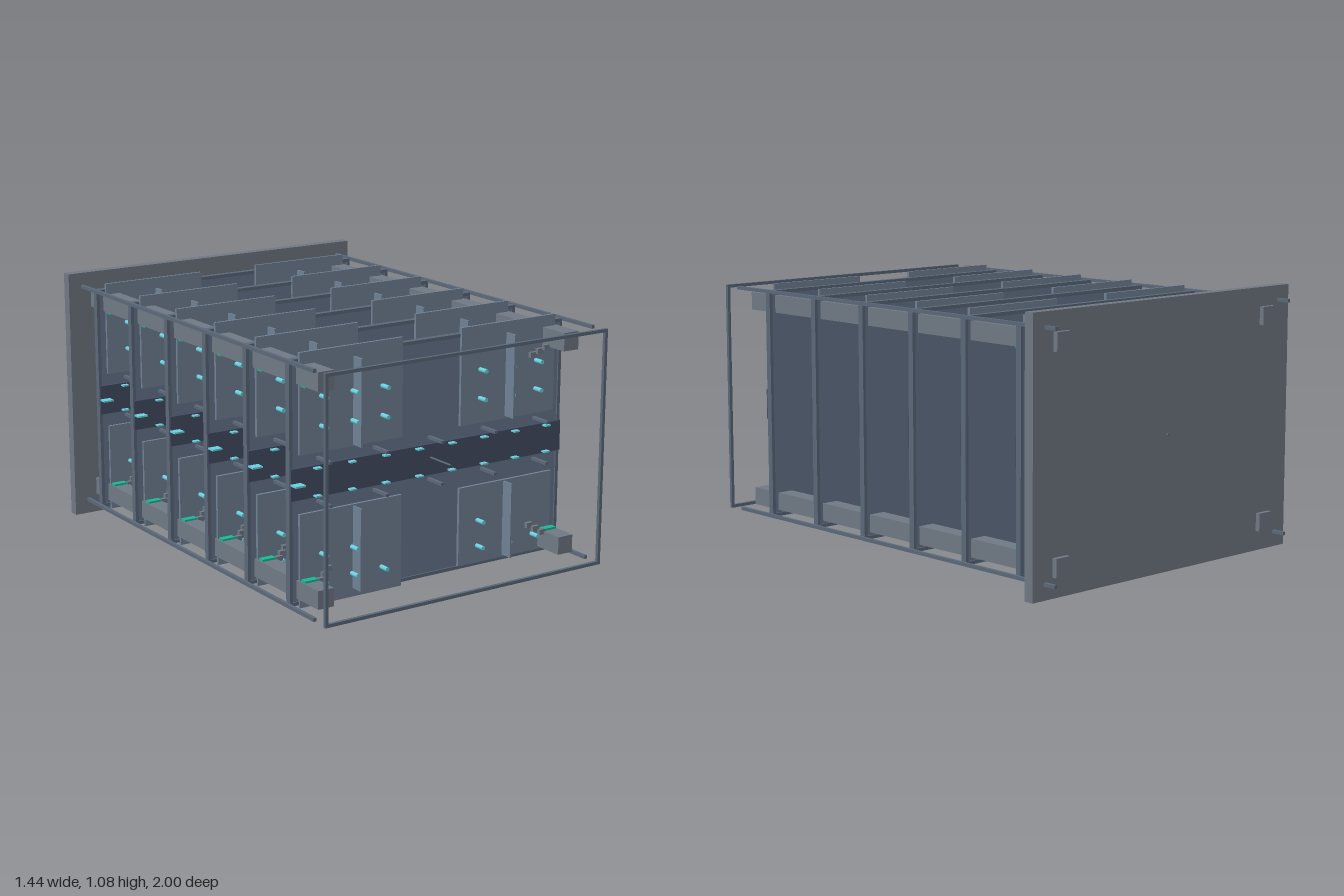
import * as THREE from 'three';

const mat = (color) => new THREE.MeshStandardMaterial({ color });
const M = {
  plate: mat(0x707783), beam: mat(0x6f7884), rail: mat(0x5a6878), board: mat(0x64748b),
  panel: mat(0x6f8194), strip: mat(0x434b63), peg: mat(0x67d0dc), clip: mat(0x14b892), tag: mat(0xd9603a),
};

// Box given by its min and max on each axis
function box(parent, name, m, x0, x1, y0, y1, z0, z1) {
  const mesh = new THREE.Mesh(new THREE.BoxGeometry(x1 - x0, y1 - y0, z1 - z0), m);
  mesh.position.set((x0 + x1) / 2, (y0 + y1) / 2, (z0 + z1) / 2);
  mesh.name = name;
  parent.add(mesh);
  return mesh;
}

// Round rod running along z
function rod(parent, name, m, x, y, z0, z1, r, sides = 12) {
  const geo = new THREE.CylinderGeometry(r, r, z1 - z0, sides).rotateX(Math.PI / 2);
  const mesh = new THREE.Mesh(geo, m);
  mesh.position.set(x, y, (z0 + z1) / 2);
  mesh.name = name;
  parent.add(mesh);
}

// Rectangular rim made of four bars
function rim(parent, name, m, x, y0, y1, t, z0, z1) {
  for (const s of [-1, 1]) {
    const c = s * (x - t / 2);
    box(parent, name + 'Side', m, c - t / 2, c + t / 2, y0, y1, z0, z1);
  }
  box(parent, name + 'Bottom', m, -x + t, x - t, y0, y0 + t, z0, z1);
  box(parent, name + 'Top', m, -x + t, x - t, y1 - t, y1, z0, z1);
}

// One board with its mounted parts, z = 0 at the board's centre
function createBoard() {
  const g = new THREE.Group();
  g.name = 'boardAssembly';
  box(g, 'board', M.board, -0.645, 0.645, 0.06, 1.015, -0.005, 0.008);
  rim(g, 'boardRim', M.rail, 0.65, 0.055, 1.02, 0.014, -0.012, 0.014);

  // Mounted panels, each with an upright fin
  const panels = [
    [-0.61, -0.14, 0.65, 1.045, -0.365, 0.655, 1.0],
    [0.14, 0.605, 0.65, 1.045, 0.363, 0.66, 1.0],
    [-0.61, -0.14, 0.045, 0.418, -0.365, 0.08, 0.412],
    [0.14, 0.605, 0.07, 0.395, 0.363, 0.08, 0.39],
  ];
  for (const [x0, x1, y0, y1, fx, f0, f1] of panels) {
    box(g, 'panel', M.panel, x0, x1, y0, y1, 0.012, 0.024);
    box(g, 'fin', M.panel, fx - 0.004, fx + 0.004, f0, f1, 0.024, 0.078);
  }

  // Dark middle strip with contacts and a side plug
  box(g, 'middleStrip', M.strip, -0.648, 0.648, 0.475, 0.6, 0.008, 0.022);
  for (let i = 0; i < 8; i++) {
    const x = -0.535 + i * 0.1575;
    for (const y of [0.483, 0.592])
      box(g, 'contact', M.peg, x - 0.014, x + 0.014, y - 0.003, y + 0.003, 0.022, 0.044);
  }
  box(g, 'sidePlug', M.peg, -0.65, -0.605, 0.536, 0.543, 0.022, 0.06);

  // Square studs above and below the strip
  for (let i = -2; i <= 2; i++)
    for (const y of [0.455, 0.625])
      box(g, 'stud', M.rail, i * 0.26 - 0.007, i * 0.26 + 0.007, y - 0.006, y + 0.006, 0, 0.1);

  // Pegs on the panels
  const pegRows = [
    [0.868, [-0.515, -0.373, -0.235, 0.232, 0.37, 0.51]],
    [0.752, [-0.515, -0.373, -0.235, 0.232, 0.37, 0.51]],
    [0.249, [-0.515, -0.373, 0.232]],
    [0.142, [-0.515, -0.373, -0.235, 0.232, 0.37, 0.51]],
  ];
  for (const [y, xs] of pegRows)
    for (const x of xs) rod(g, 'peg', M.peg, x, y, 0.022, 0.068, 0.009);

  // Corner clips and the stepped links leading inward from the beams
  for (const sx of [-1, 1]) for (const sy of [-1, 1]) {
    const cy = 0.54 + sy * 0.382;
    box(g, 'cornerClip', M.clip, sx * 0.58 - 0.03, sx * 0.58 + 0.03, cy - 0.005, cy + 0.005, 0.03, 0.06);
    for (let i = 0; i < 3; i++) {
      const x = sx * (0.535 - i * 0.023), y = 0.54 + sy * (0.385 - i * 0.015);
      box(g, 'linkStep', M.beam, x - 0.015, x + 0.015, y - 0.011, y + 0.011, 0.05 - i * 0.013, 0.066 - i * 0.013);
    }
  }
  return g;
}

export function createModel() {
  const model = new THREE.Group();
  model.name = 'boardRack';

  box(model, 'backPlate', M.plate, -0.72, 0.72, 0, 1.077, -0.943, -0.9);

  // Corner beams and thin outer rails
  for (const sx of [-1, 1]) for (const top of [0, 1]) {
    const bx = sx * 0.58, by = top ? 0.962 : 0.118;
    box(model, 'cornerBeam', M.beam, bx - 0.036, bx + 0.036, by - 0.037, by + 0.037, -0.962, 0.88);
    const rx = sx * 0.656, ry = top ? 1.018 : 0.062;
    box(model, 'outerRail', M.rail, rx - 0.007, rx + 0.007, ry - 0.007, ry + 0.007, -1, 0.92);
  }

  rim(model, 'frontFrame', M.rail, 0.663, 0.054, 1.025, 0.013, 0.986, 1);
  rod(model, 'centreRod', M.rail, 0, 0.545, -0.953, 0.872, 0.004, 8);

  for (let i = 0; i < 6; i++) {
    const board = createBoard();
    board.position.z = -0.795 + i * 0.3035;
    model.add(board);
  }

  box(model, 'tag', M.tag, -0.425, -0.385, 0.838, 0.878, 0.2, 0.213);
  return model;
}
